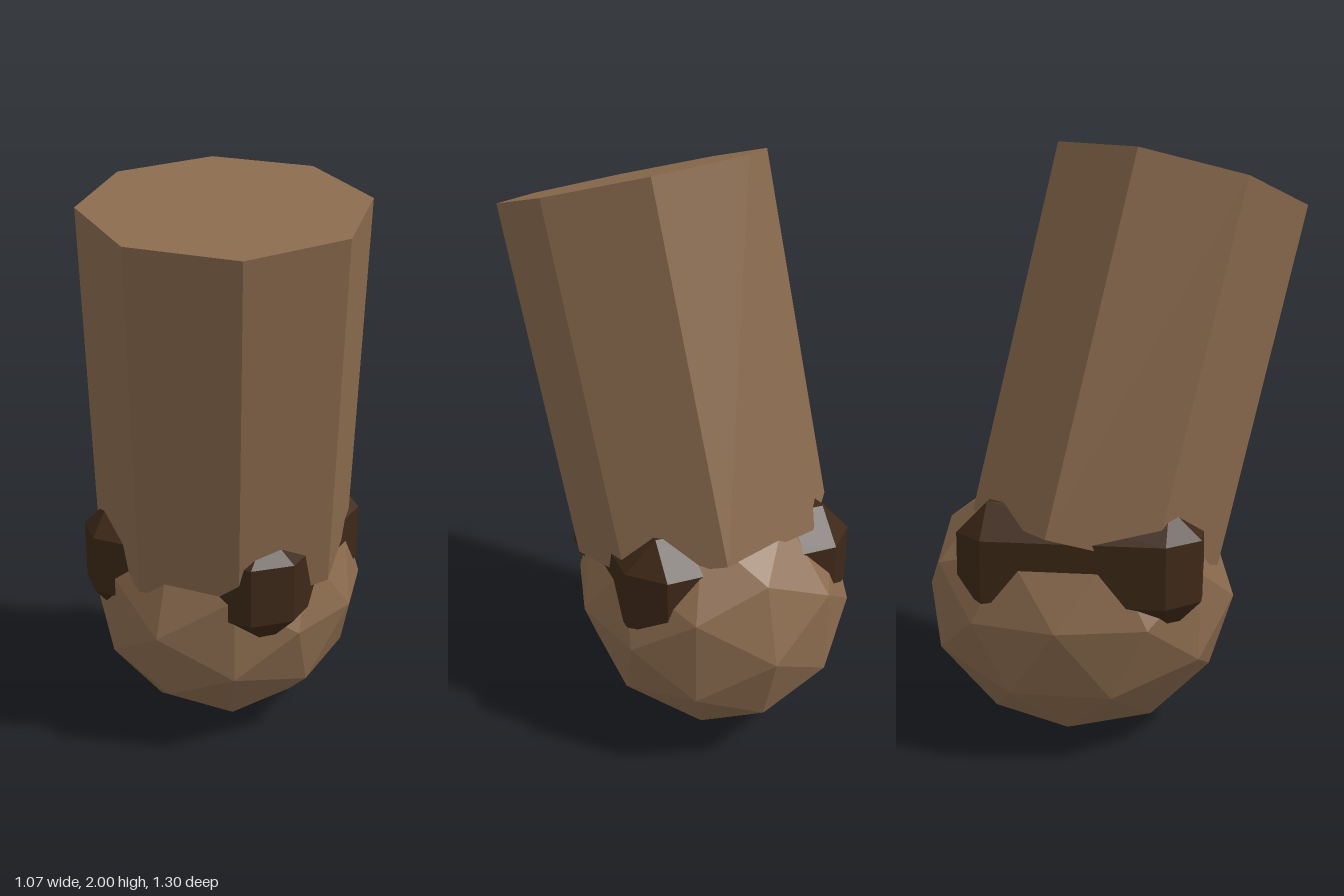
import * as THREE from 'three';
import { ConvexGeometry } from 'three/addons/geometries/ConvexGeometry.js';

const tan = new THREE.MeshStandardMaterial({ color: 0x8b6b4e, flatShading: true });
const dark = new THREE.MeshStandardMaterial({ color: 0x3d2817, flatShading: true });

function addMesh(group, name, geometry, material) {
  const mesh = new THREE.Mesh(geometry, material);
  mesh.name = name;
  group.add(mesh);
  return mesh;
}

// Box with all edges cut at 45 degrees: three corner points per box corner
function chamferedBox(hx, hy, hz, c) {
  const points = [];
  for (const x of [-1, 1]) for (const y of [-1, 1]) for (const z of [-1, 1]) {
    points.push(
      new THREE.Vector3(x * hx, y * (hy - c), z * (hz - c)),
      new THREE.Vector3(x * (hx - c), y * hy, z * (hz - c)),
      new THREE.Vector3(x * (hx - c), y * (hy - c), z * hz),
    );
  }
  return new ConvexGeometry(points);
}

export function createModel() {
  const group = new THREE.Group();
  group.name = 'limb';

  // Faceted ball at the lower end, slightly longer front to back
  const ball = addMesh(group, 'ball', new THREE.IcosahedronGeometry(1, 1), tan);
  ball.scale.set(0.476, 0.476, 0.54);
  ball.position.set(-0.058, 0.478, -0.11);

  // Dark chamfered block whose corners stick out around the joint
  const band = addMesh(group, 'jointBand', chamferedBox(0.407, 0.205, 0.4, 0.105), dark);
  band.position.set(-0.058, 0.65, -0.065);

  // Eight-sided shaft leaning forward and to the left
  const length = 1.228;
  const axis = new THREE.Vector3(0.117, 0.969, 0.219).normalize();
  const side = new THREE.Vector3().crossVectors(axis, new THREE.Vector3(0.528, -0.247, 0.81)).normalize();
  const front = new THREE.Vector3().crossVectors(side, axis);
  const shaft = addMesh(group, 'shaft', new THREE.CylinderGeometry(0.454, 0.454, length, 8), tan);
  shaft.quaternion.setFromRotationMatrix(new THREE.Matrix4().makeBasis(side, axis, front));
  shaft.position.set(0.092, 1.887, 0.212).addScaledVector(axis, -length / 2);

  return group;
}
